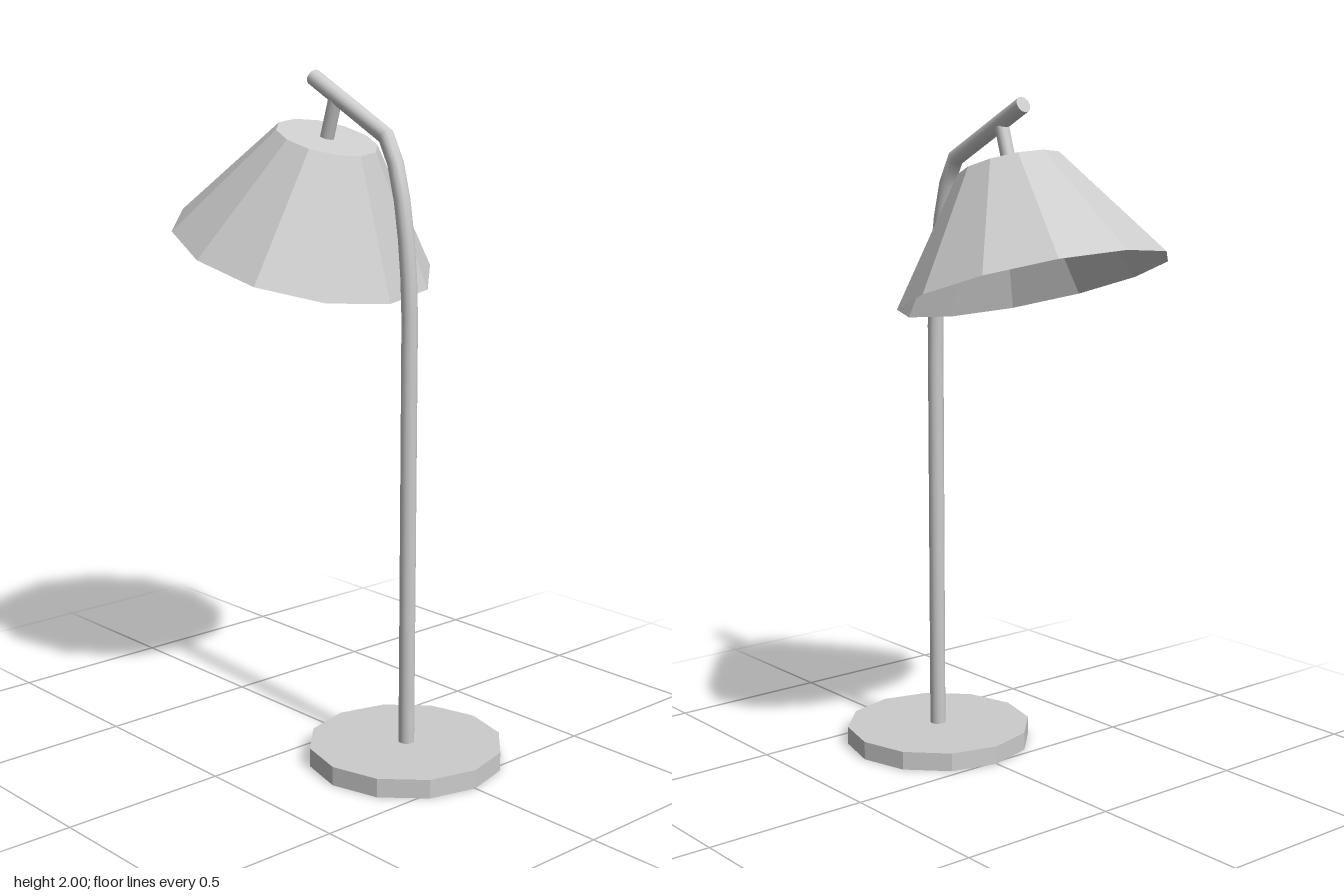
import * as THREE from 'three';

const smooth = () => new THREE.MeshStandardMaterial({ color: 0xcccccc });
const faceted = () => new THREE.MeshStandardMaterial({ color: 0xcccccc, flatShading: true });

function part(name, geometry, material, x = 0, y = 0) {
  const mesh = new THREE.Mesh(geometry, material);
  mesh.name = name;
  mesh.position.set(x, y, 0);
  return mesh;
}

// Capped round bar swept along a path in the XY plane, with mitred corners
function bar(path, radius, sides) {
  const pts = path.map(([x, y]) => new THREE.Vector2(x, y));
  const pos = [], index = [], last = pts.length - 1;
  const ring = (i) => {
    const a = pts[Math.min(i, last - 1) + 1].clone().sub(pts[Math.min(i, last - 1)]).normalize();
    const b = i > 0 ? pts[i].clone().sub(pts[i - 1]).normalize() : a;
    const t = a.clone().add(b).normalize();
    const r = radius / t.dot(a);
    for (let k = 0; k < sides; k++) {
      const u = (k / sides) * Math.PI * 2;
      pos.push(pts[i].x - t.y * r * Math.cos(u), pts[i].y + t.x * r * Math.cos(u), radius * Math.sin(u));
    }
  };
  for (let i = 0; i <= last; i++) ring(i);
  for (let i = 0; i < last; i++) {
    for (let k = 0; k < sides; k++) {
      const a = i * sides + k, b = i * sides + (k + 1) % sides;
      index.push(a, b, a + sides, b, b + sides, a + sides);
    }
  }
  // End caps have their own corners so that their edges stay sharp
  for (const end of [0, last]) {
    const s = pos.length / 3;
    ring(end);
    for (let k = 1; k < sides - 1; k++) {
      if (end) index.push(s, s + k, s + k + 1);
      else index.push(s, s + k + 1, s + k);
    }
  }
  const g = new THREE.BufferGeometry();
  g.setAttribute('position', new THREE.Float32BufferAttribute(pos, 3));
  g.setIndex(index);
  g.computeVertexNormals();
  return g;
}

export function createModel() {
  const lamp = new THREE.Group();
  lamp.name = 'deskLamp';

  // Twelve-sided foot
  lamp.add(part('base', new THREE.CylinderGeometry(0.288, 0.288, 0.056, 12), faceted(), 0.274, 0.028));

  // Upright that bends over, then kinks into a straight arm
  const path = [
    [0.278, 0.05], [0.278, 1.2], [0.278, 1.32], [0.273, 1.43], [0.262, 1.54],
    [0.244, 1.65], [0.217, 1.75], [0.177, 1.824], [-0.13, 1.979],
  ];
  lamp.add(part('poleAndArm', bar(path, 0.024, 12), smooth()));

  // Tilted head; its origin is the centre of the shade's top
  const head = new THREE.Group();
  head.name = 'head';
  head.position.set(-0.071, 1.809, 0);
  head.rotation.z = -0.314;
  lamp.add(head);

  const shadeMaterial = faceted();
  shadeMaterial.side = THREE.DoubleSide;
  const profile = [[0, 0], [0.152, 0], [0.397, -0.35]].map(([x, y]) => new THREE.Vector2(x, y));
  head.add(part('shade', new THREE.LatheGeometry(profile, 12), shadeMaterial));
  head.add(part('stem', new THREE.CylinderGeometry(0.021, 0.021, 0.26, 12), smooth(), 0, -0.015));
  head.add(part('bulb', new THREE.SphereGeometry(0.045, 12, 8), smooth(), 0, -0.18));

  return lamp;
}
